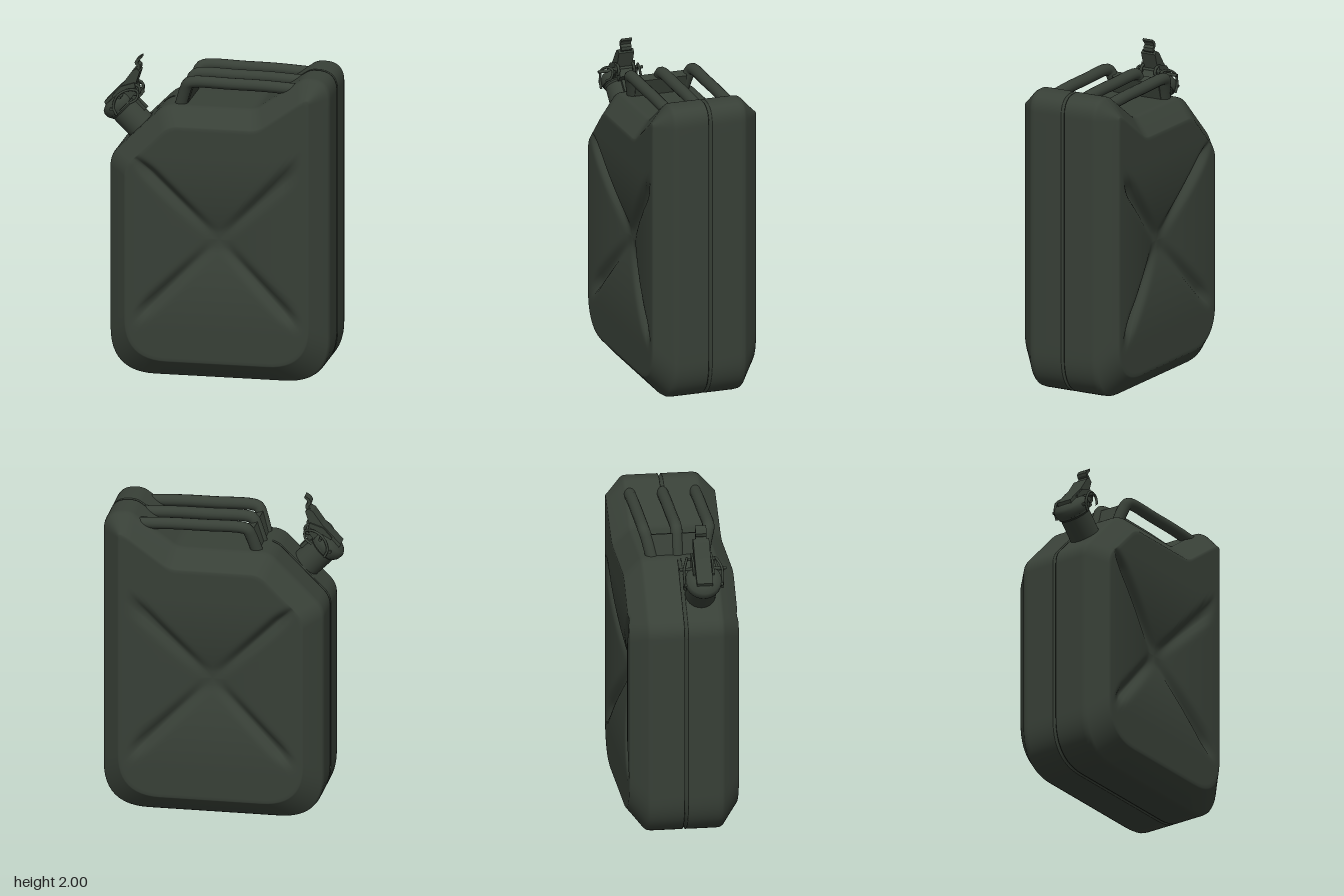
import * as THREE from 'three';
import { mergeVertices, toCreasedNormals } from 'three/addons/utils/BufferGeometryUtils.js';

const olive = new THREE.MeshStandardMaterial({ color: 0x384037 });
olive.name = 'olive paint';

function add(parent, name, geometry, x = 0, y = 0, z = 0) {
  const mesh = new THREE.Mesh(geometry, olive);
  mesh.name = name;
  mesh.position.set(x, y, z);
  parent.add(mesh);
  return mesh;
}

// Polygon corners [x, y, cut] become a loop with evenly sampled curves and edges
function roundedLoop(corners, curveSteps = 12, edgeSteps = 26) {
  const loop = [];
  const n = corners.length;
  const pts = corners.map(([x, y]) => new THREE.Vector2(x, y));
  const toward = (i, j, d) => pts[i].clone().add(pts[j].clone().sub(pts[i]).setLength(d));
  for (let i = 0; i < n; i++) {
    const next = (i + 1) % n;
    const a = toward(i, (i + n - 1) % n, corners[i][2]);
    const b = toward(i, next, corners[i][2]);
    const c = toward(next, i, corners[next][2]);
    const bend = new THREE.QuadraticBezierCurve(a, pts[i], b);
    for (let k = 0; k < curveSteps; k++) loop.push(bend.getPoint(k / curveSteps));
    for (let k = 0; k < edgeSteps; k++) loop.push(b.clone().lerp(c, k / edgeSteps));
  }
  return loop;
}

// Pressed side panel: four pillowed triangles falling to an X of nearly level grooves
const centre = new THREE.Vector2(0.03, 0.89);
function panelDepth(p) {
  const dx = Math.abs(p.x - centre.x), dy = Math.abs(p.y - centre.y);
  const v = Math.min(0.9, Math.max(0, 1 - Math.max(dx, dy) / 0.56));
  const d = (dx - dy) / Math.SQRT2;
  const arm = Math.exp(-((d / 0.034) ** 2)) * THREE.MathUtils.smoothstep(v, 0.02, 0.25);
  return THREE.MathUtils.lerp(0.095 * v ** 2, 0.04 + 0.045 * v, arm);
}

function bodyGeometry() {
  const outer = roundedLoop([
    [-0.66, 0, 0.28], [0.72, 0, 0.28], [0.72, 1.935, 0.125], [0.55, 1.935, 0.035],
    [0.25, 1.725, 0.04], [-0.32, 1.725, 0.06], [-0.66, 1.385, 0.06],
  ]);
  const inner = roundedLoop([
    [-0.545, 0.118, 0.26], [0.605, 0.118, 0.26], [0.605, 1.83, 0.03], [0.55, 1.80, 0.02],
    [0.285, 1.61, 0.05], [-0.272, 1.61, 0.06], [-0.545, 1.337, 0.06],
  ]);
  const rings = [];
  // Front panel, from its centre outward
  const steps = 36;
  for (let s = 0; s <= steps; s++) {
    rings.push(inner.map((q) => {
      const p = centre.clone().lerp(q, s / steps);
      return [p.x, p.y, 0.34 - panelDepth(p)];
    }));
  }
  // Bevelled rim down to the seam groove; the groove stops under the handles
  const rim = [[0.334, 0.94], [0.32, 0.82], [0.242, 0.1], [0.225, 0.02], [0.2, 0],
    [0.014, 0], [0.01, 0], [0.008, 0.12]];
  for (const [z, k] of rim) {
    rings.push(outer.map((p, i) => {
      const seam = z < 0.009 && p.y > 1.6 && p.x > -0.3 && p.x < 0.48;
      const q = p.clone().lerp(inner[i], seam ? 0 : k);
      return [q.x, q.y, z];
    }));
  }
  // Back half mirrors the front
  for (let r = rings.length - 1; r >= 0; r--) rings.push(rings[r].map(([x, y, z]) => [x, y, -z]));

  const n = outer.length, index = [];
  for (let r = 0; r < rings.length - 1; r++) {
    for (let j = 0; j < n; j++) {
      const k = (j + 1) % n;
      const a = r * n + j, b = r * n + k, c = b + n, d = a + n;
      index.push(a, d, c, a, c, b);
    }
  }
  const geometry = new THREE.BufferGeometry();
  geometry.setAttribute('position', new THREE.Float32BufferAttribute(rings.flat(2), 3));
  geometry.setIndex(index);
  const merged = mergeVertices(geometry, 1e-5);
  merged.computeVertexNormals();
  return merged;
}

// Three carrying bars joined at their leaning posts
function buildHandles(group) {
  const handles = new THREE.Group();
  handles.name = 'handles';
  for (const z of [-0.203, 0, 0.203]) {
    const path = new THREE.CatmullRomCurve3([
      [-0.24, 1.68, z * 0.76], [-0.195, 1.82, z * 0.92], [-0.176, 1.86, z * 0.98],
      [-0.14, 1.873, z], [0.1, 1.872, z], [0.3, 1.87, z], [0.5, 1.86, z],
    ].map((p) => new THREE.Vector3(...p)));
    add(handles, 'handleBar', new THREE.TubeGeometry(path, 48, 0.037, 14));
  }
  const web = add(handles, 'handleWeb', new THREE.BoxGeometry(0.06, 0.16, 0.33), -0.203, 1.765, 0);
  web.rotation.z = -0.31;
  group.add(handles);
}

// Thin plate cut from a profile in the spout's side plane
function plate(points, width) {
  const shape = new THREE.Shape(points.map(([x, y]) => new THREE.Vector2(x, y)));
  return new THREE.ExtrudeGeometry(shape, { depth: width, bevelEnabled: false }).translate(0, 0, -width / 2);
}

// Slanted pouring neck with cap, lever and wire clasp
function buildSpout(group) {
  const spout = new THREE.Group();
  spout.name = 'spout';
  spout.position.set(-0.5, 1.56, 0.108);
  spout.rotation.z = Math.PI / 4;

  const lathe = (pts) => toCreasedNormals(new THREE.LatheGeometry(pts.map(([x, y]) => new THREE.Vector2(x, y)), 36), 0.6);
  add(spout, 'neck', lathe([[0.094, -0.08], [0.094, 0.13], [0.102, 0.14], [0.102, 0.155], [0, 0.155]]));
  add(spout, 'cap', lathe([[0.09, 0.145], [0.107, 0.15], [0.113, 0.165], [0.113, 0.195], [0.103, 0.212], [0.07, 0.23], [0, 0.234]]));

  // Lever with curled thumb tab
  add(spout, 'lever', plate([[-0.06, 0.22], [0.1, 0.19], [0.15, 0.185], [0.25, 0.235], [0.25, 0.262], [0.22, 0.272], [0.12, 0.255], [-0.05, 0.25]], 0.1));
  add(spout, 'thumbTab', plate([
    [0.23, 0.245], [0.262, 0.247], [0.277, 0.262], [0.276, 0.282], [0.29, 0.288], [0.315, 0.288],
    [0.322, 0.3], [0.29, 0.307], [0.265, 0.3], [0.257, 0.285], [0.258, 0.27], [0.23, 0.265],
  ], 0.068));

  // Hinge block, side arms and wire loops
  add(spout, 'hinge', new THREE.BoxGeometry(0.06, 0.07, 0.09), 0.125, 0.155, 0);
  add(spout, 'hingeStrap', new THREE.BoxGeometry(0.02, 0.12, 0.05), 0.1, 0.1, 0);
  for (const side of [-1, 1]) {
    add(spout, 'sideArm', plate([[0, 0.2], [0.07, 0.15], [0.15, 0.16], [0.18, 0.21], [0.1, 0.25], [0.02, 0.245]], 0.012), 0, 0, side * 0.06);
    const wire = new THREE.CatmullRomCurve3([
      [-0.03, 0.14], [-0.01, 0.19], [0.06, 0.225], [0.13, 0.205], [0.165, 0.16], [0.13, 0.13], [0.08, 0.14],
    ].map(([x, y]) => new THREE.Vector3(x, y, side * (0.118 - 0.3 * Math.max(0, x - 0.06)))));
    add(spout, 'claspWire', new THREE.TubeGeometry(wire, 36, 0.008, 8));
    add(spout, 'hingeRing', new THREE.TorusGeometry(0.03, 0.009, 8, 20), 0.15, 0.175, side * 0.05);
  }
  for (const [x, y, length] of [[0.07, 0.21, 0.29], [-0.03, 0.19, 0.24], [0.15, 0.18, 0.18]]) {
    add(spout, 'pin', new THREE.CylinderGeometry(0.01, 0.01, length, 10), x, y, 0).rotation.x = Math.PI / 2;
  }
  group.add(spout);
}

export function createModel() {
  const group = new THREE.Group();
  group.name = 'fuelCan';
  add(group, 'body', bodyGeometry());
  buildHandles(group);
  buildSpout(group);
  return group;
}
